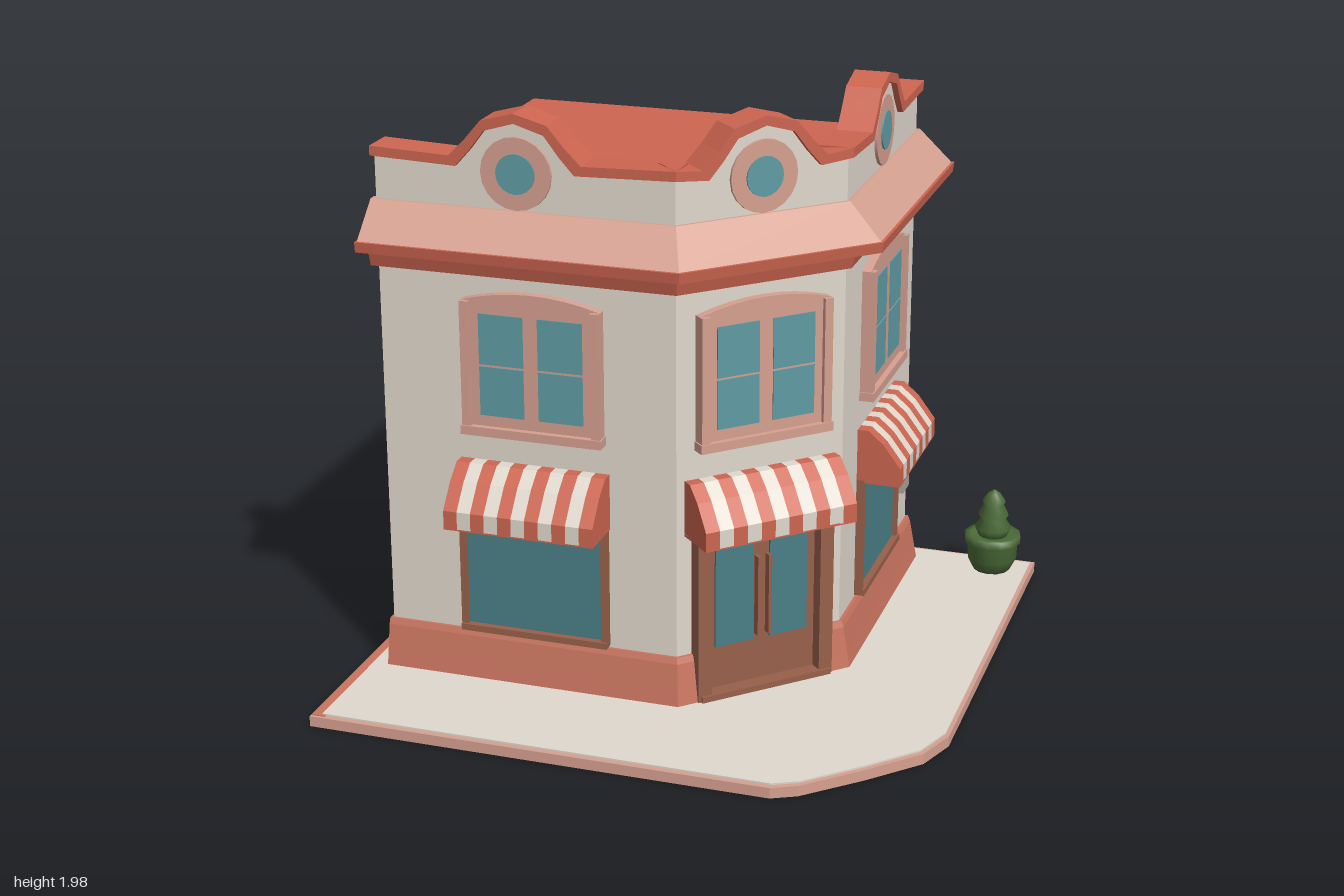
import * as THREE from 'three';

const mat = (name, color) => {
  const m = new THREE.MeshStandardMaterial({ color });
  m.name = name;
  return m;
};

export function createModel() {
  const wall = mat('offWhite', 0xe0d8cd), red = mat('roofRed', 0xcd6550), terra = mat('terracotta', 0xc8745f);
  const pink = mat('palePink', 0xd5a090), party = mat('partyWallPink', 0xcb7d6a), glass = mat('tealGlass', 0x5f9ba3);
  const shopGlass = mat('darkGlass', 0x4a7e87), wood = mat('brownWood', 0x98604a), green = mat('leafGreen', 0x4b6b38);
  const grey = mat('grey', 0xa9a39b);

  const model = new THREE.Group();
  const add = (parent, name, geo, material, x = 0, y = 0, z = 0) => {
    const m = new THREE.Mesh(geo, material);
    m.name = name;
    m.position.set(x, y, z);
    parent.add(m);
    return m;
  };
  const box = (parent, name, material, x, y, z, w, h, d) =>
    add(parent, name, new THREE.BoxGeometry(w, h, d), material, x, y, z);

  // Horizontal polygon of [x, z] points raised from y0 to y1
  const prism = (pts, y0, y1) => {
    const shape = new THREE.Shape(pts.map(([x, z]) => new THREE.Vector2(x, -z)));
    return new THREE.ExtrudeGeometry(shape, { depth: y1 - y0, bevelEnabled: false }).rotateX(-Math.PI / 2).translate(0, y0, 0);
  };

  // Closed [offset, y] profile carried along an [x, z] path with mitred corners
  const sweep = (path, profile, ext = 0) => {
    const dirs = path.slice(1).map(([x, z], i) => {
      const dx = x - path[i][0], dz = z - path[i][1], l = Math.hypot(dx, dz);
      return [dx / l, dz / l];
    });
    const rings = path.map(([x, z], i) => {
      const a = dirs[Math.max(i - 1, 0)], b = dirs[Math.min(i, dirs.length - 1)];
      const k = 1 + a[0] * b[0] + a[1] * b[1];
      const n = [-(a[1] + b[1]) / k, (a[0] + b[0]) / k];
      const e = i === 0 ? -ext : i === path.length - 1 ? ext : 0;
      return profile.map(([o, y]) => [x + n[0] * o + a[0] * e, y, z + n[1] * o + a[1] * e]);
    });
    const v = [], n = profile.length, last = rings[rings.length - 1];
    for (let i = 0; i < rings.length - 1; i++)
      for (let j = 0; j < n; j++) {
        const k = (j + 1) % n, a = rings[i][j], b = rings[i + 1][j], c = rings[i + 1][k], d = rings[i][k];
        v.push(...a, ...b, ...c, ...a, ...c, ...d);
      }
    for (let j = 1; j < n - 1; j++)
      v.push(...rings[0][0], ...rings[0][j], ...rings[0][j + 1], ...last[0], ...last[j + 1], ...last[j]);
    const g = new THREE.BufferGeometry();
    g.setAttribute('position', new THREE.Float32BufferAttribute(v, 3));
    g.computeVertexNormals();
    return g;
  };

  // Pavement slab with a rounded-off street corner
  const slab = [[-1, -0.97], [1, -0.97], [1, 0.46], [0.95, 0.6], [0.8, 0.76], [0.63, 0.92], [0.55, 0.96], [-1, 0.96]];
  add(model, 'pavementEdge', prism(slab, 0, 0.036), pink);
  add(model, 'pavementTop', prism(slab.map(([x, z]) => [x * 0.975 + 0.012, z * 0.98]), 0.034, 0.042), wall);
  box(model, 'pavementLeftBorder', terra, -0.975, 0.035, 0, 0.045, 0.008, 1.9);

  // Body: party walls and flat roof, wrapped by the three street walls
  const street = [[-0.9, 0.5], [0.1, 0.5], [0.53, 0.07], [0.53, -0.87]];
  const body = [[-0.895, 0.48], [0.09, 0.48], [0.51, 0.06], [0.51, -0.865], [-0.895, -0.865]];
  add(model, 'bodyAndRoof', prism(body, 0.04, 1.665), [red, party]);
  add(model, 'streetWalls', sweep(street, [[-0.03, 1.66], [-0.03, 0.04], [0, 0.04], [0, 1.66]]), wall);

  // Flared plinth either side of the corner door
  const plinth = [[-0.02, 0.2], [-0.02, 0.04], [0.045, 0.04], [0.035, 0.09], [0.018, 0.18], [0.01, 0.2]];
  add(model, 'frontPlinth', sweep([[-0.9, 0.5], [0.1, 0.5], [0.135, 0.465]], plinth, 0.01), terra);
  add(model, 'sidePlinth', sweep([[0.495, 0.105], [0.53, 0.07], [0.53, -0.87]], plinth, 0.01), terra);

  // Cornice: red eaves below a pale sloping skirt
  add(model, 'eaves', sweep(street, [[-0.02, 1.55], [-0.02, 1.43], [0.02, 1.44], [0.035, 1.49], [0.13, 1.515], [0.135, 1.55]], 0.02), red);
  add(model, 'corniceSlope', sweep(street, [[-0.02, 1.66], [-0.02, 1.55], [0.125, 1.55], [0.01, 1.66]], 0.015), pink);

  // Parapet with an arched gable and round window
  const addParapet = (g, width, cx, archX) => {
    const arch = [[-0.22, 1.825], [-0.165, 1.88], [-0.11, 1.945], [0, 1.975], [0.11, 1.945], [0.165, 1.88], [0.22, 1.825]]
      .map(([x, y]) => [x + archX, y]);
    const l = cx - width / 2, r = cx + width / 2;
    const top = [[l, 1.835], ...arch, [r, 1.835]];
    const plate = (pts, z, depth) => new THREE.ExtrudeGeometry(
      new THREE.Shape(pts.map(p => new THREE.Vector2(...p))), { depth, bevelEnabled: false }).translate(0, 0, z);
    add(g, 'parapetPanel', plate([[l, 1.6], ...top.map(([x, y]) => [x, y - 0.015]), [r, 1.6]], -0.08, 0.08), wall);
    const cap = top.map(([x, y], i) => [x + (i === 0 ? -0.008 : i === top.length - 1 ? 0.008 : 0), y]);
    const under = cap.map(([x, y]) => [archX + (x - archX) * (Math.abs(x - archX) < 0.23 ? 0.9 : 1), y - 0.032]).reverse();
    add(g, 'parapetCap', plate([...cap, ...under], -0.1, 0.12), red);
    const disc = (name, rad, z, d, m) =>
      add(g, name, new THREE.CylinderGeometry(rad, rad, d, 20).rotateX(Math.PI / 2), m, archX, 1.78, z);
    disc('roundWindowSurround', 0.118, 0.004, 0.012, pink);
    disc('roundWindowGlass', 0.065, -0.035, 0.1, glass);
  };

  // Upper window: shallow-arched surround, sill and four panes
  const addUpperWindow = (g, x) => {
    const s = new THREE.Shape();
    s.moveTo(-0.235, 0.93);
    s.lineTo(0.235, 0.93);
    s.lineTo(0.235, 1.36);
    s.quadraticCurveTo(0, 1.43, -0.235, 1.36);
    add(g, 'upperWindowSurround', new THREE.ExtrudeGeometry(s, { depth: 0.03, bevelEnabled: false, curveSegments: 8 }), pink, x);
    box(g, 'upperWindowSill', pink, x, 0.925, 0.025, 0.48, 0.03, 0.05);
    for (const sx of [-1, 1])
      for (const [y, h] of [[1.06, 0.165], [1.235, 0.17]])
        box(g, 'upperWindowPane', glass, x + sx * 0.1, y, 0.03, 0.15, h, 0.008);
    for (const sx of [-1, 1])
      box(g, 'upperWindowJamb', pink, x + sx * 0.22, 1.15, 0.03, 0.03, 0.42, 0.03);
  };

  // Striped awning
  const addAwning = (g, x, width, out) => {
    const n = 11, w = width / n;
    const profile = [[0, 0.81], [0, 0.63], [out, 0.625], [out, 0.685], [out * 0.6, 0.765], [out * 0.25, 0.81]];
    for (let i = 0; i < n; i++) {
      const x0 = x - width / 2 + i * w;
      add(g, 'awningStripe', sweep([[x0, 0], [x0 + w, 0]], profile), i % 2 ? wall : red);
    }
    box(g, 'awningUnderside', red, x, 0.624, out / 2, width, 0.008, out);
  };

  // Shop window with a wooden frame
  const addShopWindow = (g, x) => {
    box(g, 'shopWindowGlass', shopGlass, x, 0.42, 0.008, 0.48, 0.4, 0.008);
    for (const sx of [-1, 1]) box(g, 'shopWindowJamb', wood, x + sx * 0.245, 0.42, 0.012, 0.022, 0.42, 0.03);
    box(g, 'shopWindowSill', wood, x, 0.217, 0.015, 0.51, 0.022, 0.04);
  };

  // Double corner door
  const addDoor = (g) => {
    box(g, 'doorBacking', wood, 0, 0.33, 0.004, 0.48, 0.58, 0.008);
    for (const sx of [-1, 1]) {
      box(g, 'doorPost', wood, sx * 0.225, 0.33, 0.025, 0.05, 0.58, 0.05);
      box(g, 'doorGlass', shopGlass, sx * 0.1, 0.39, 0.011, 0.14, 0.36, 0.008);
      box(g, 'doorHandle', wood, sx * 0.02, 0.37, 0.025, 0.012, 0.28, 0.025);
    }
    box(g, 'doorLintel', wood, 0, 0.605, 0.02, 0.48, 0.03, 0.04);
    box(g, 'doorStep', wood, 0, 0.05, 0.03, 0.48, 0.025, 0.06);
  };

  // Three street facades, each facing its own local +z
  const facade = (name, x, z, turn, width, cx, archX, winX) => {
    const g = new THREE.Group();
    g.name = name;
    g.position.set(x, 0, z);
    g.rotation.y = turn;
    addParapet(g, width, cx, archX);
    addUpperWindow(g, winX);
    model.add(g);
    return g;
  };
  const front = facade('frontFacade', 0, 0.5, 0, 1, -0.4, -0.42, -0.375);
  const corner = facade('cornerFacade', 0.315, 0.285, Math.PI / 4, 0.608, 0, 0, 0);
  const side = facade('rightFacade', 0.53, 0, Math.PI / 2, 0.94, 0.4, 0.38, 0.38);
  addShopWindow(front, -0.385);
  addAwning(front, -0.38, 0.51, 0.165);
  addShopWindow(side, 0.385);
  addAwning(side, 0.385, 0.51, 0.15);
  addDoor(corner);
  addAwning(corner, 0, 0.55, 0.15);

  // Small wall box on the right side
  box(side, 'wallBox', grey, 0.765, 0.395, 0.01, 0.09, 0.09, 0.03);
  box(side, 'wallBoxTop', shopGlass, 0.765, 0.455, 0.012, 0.09, 0.025, 0.035);

  // Pale patches on the left party wall
  for (const [z, y, w, h] of [[-0.555, 1.09, 0.16, 0.38], [-0.14, 1.06, 0.13, 0.2], [-0.08, 1.2, 0.1, 0.2],
    [0.185, 1.13, 0.15, 0.34], [0.16, 0.33, 0.2, 0.14], [-0.555, 0.31, 0.16, 0.28]])
    box(model, 'wallPatch', wall, -0.897, y, z, 0.008, h, w);

  // Potted topiary
  const plant = new THREE.Group();
  plant.name = 'pottedPlant';
  plant.position.set(0.86, 0, -0.865);
  const lathe = pts => new THREE.LatheGeometry(pts.map(p => new THREE.Vector2(...p)), 12);
  add(plant, 'pot', lathe([[0, 0.04], [0.065, 0.04], [0.09, 0.09], [0.092, 0.14], [0.102, 0.15], [0.102, 0.178], [0.08, 0.178], [0, 0.165]]), green);
  add(plant, 'topiary', lathe([[0, 0.16], [0.05, 0.17], [0.066, 0.205], [0.045, 0.235], [0.055, 0.255], [0.036, 0.29],
    [0.042, 0.305], [0.022, 0.335], [0, 0.35]]), green);
  model.add(plant);

  return model;
}
